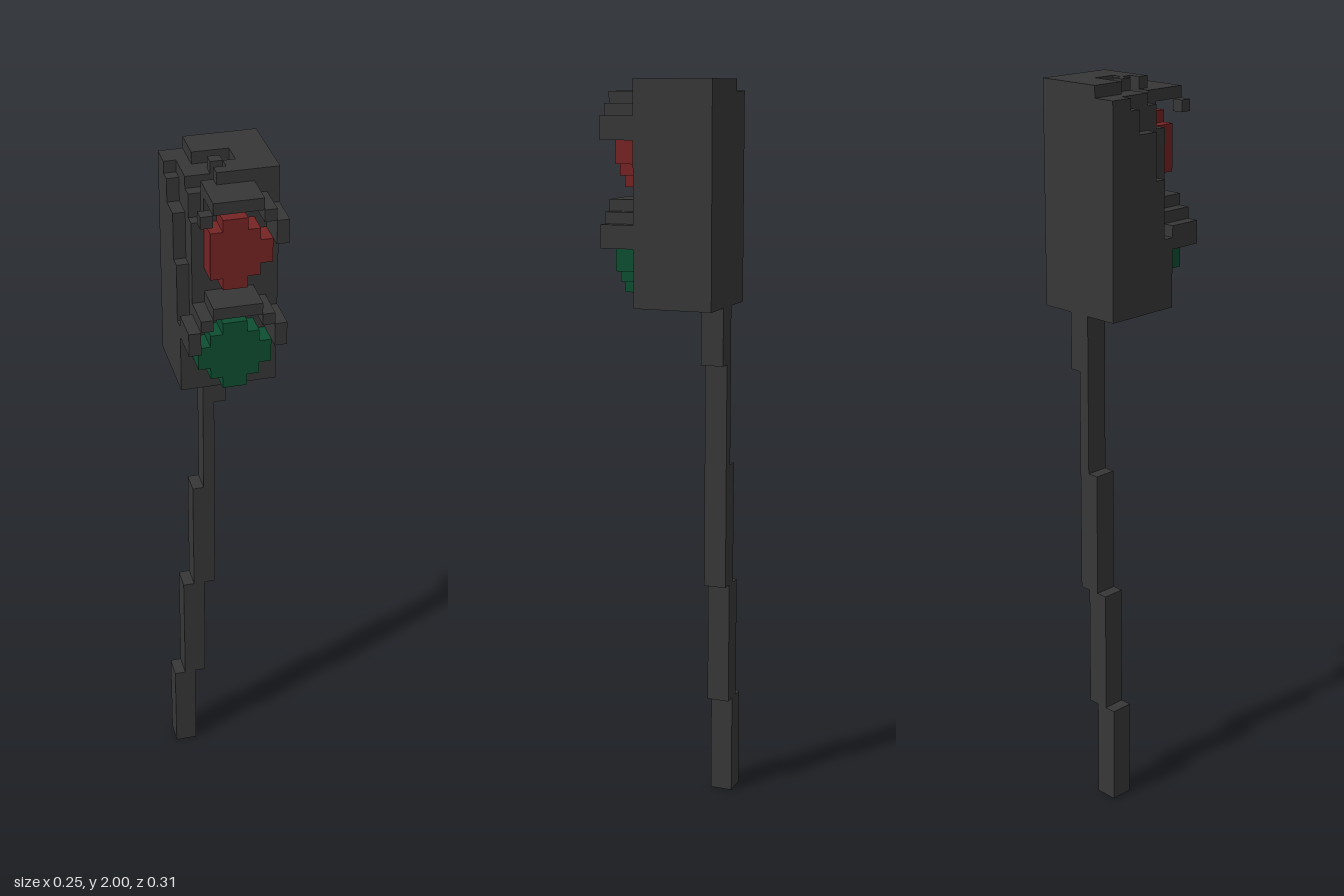
import * as THREE from 'three';

const U = 2 / 64; // one block unit; grid is 8 wide, 64 high, 10 deep

export function createModel() {
  const model = new THREE.Group();
  const mat = (name, color) => {
    const m = new THREE.MeshStandardMaterial({ color });
    m.name = name;
    return m;
  };
  const grey = mat('dark grey', 0x373737);
  const red = mat('signal red', 0x762424);
  const green = mat('signal green', 0x0e4e31);

  const part = (name) => {
    const g = new THREE.Group();
    g.name = name;
    model.add(g);
    return g;
  };
  // Block from grid corner to grid corner
  const block = (group, m, x0, x1, y0, y1, z0, z1) => {
    const geo = new THREE.BoxGeometry((x1 - x0) * U, (y1 - y0) * U, (z1 - z0) * U);
    const mesh = new THREE.Mesh(geo, m);
    mesh.position.set(((x0 + x1) / 2 - 4) * U, ((y0 + y1) / 2) * U, ((z0 + z1) / 2 - 5) * U);
    mesh.name = group.name + 'Block';
    group.add(mesh);
  };

  // Crooked pole, stepping sideways as it rises
  const pole = part('pole');
  [[0, 2, 0, 9], [1, 3, 9, 20], [2, 4, 20, 31], [3, 4, 31, 40], [3, 5, 40, 45]]
    .forEach(([x0, x1, y0, y1]) => block(pole, grey, x0, x1, y0, y1, 0, 2));

  // Housing: solid core, then columns of varied height at the worn corner
  const housing = part('housing');
  block(housing, grey, 2, 8, 45, 62, 0, 7);
  [ // x0, x1, z0, z1, top
    [0, 1, 0, 2, 63], [0, 1, 2, 3, 62], [0, 1, 3, 5, 60], [0, 1, 5, 6, 56], [0, 1, 6, 7, 51],
    [1, 2, 0, 5, 63], [1, 2, 5, 6, 62], [1, 2, 6, 7, 60],
  ].forEach(([x0, x1, z0, z1, top]) => block(housing, grey, x0, x1, 45, top, z0, z1));

  // Worn top layers
  const cap = part('wornTop');
  block(cap, grey, 2, 8, 62, 64, 0, 3);
  block(cap, grey, 5, 8, 62, 64, 3, 7);
  block(cap, grey, 2, 5, 62, 63, 3, 5);
  block(cap, grey, 3, 4, 63, 64, 4, 5);
  block(cap, grey, 4, 5, 62, 64, 5, 7);
  block(cap, grey, 3, 4, 62, 64, 6, 7);
  block(cap, grey, 2, 3, 62, 63, 6, 7);

  // Stepped visors; the upper one is broken on its right
  const visor = (name, y, broken) => {
    const g = part(name);
    block(g, grey, 2, 6, y + 3, y + 4, 7, 10);
    block(g, grey, 6, 7, y + 2, y + 3, 7, 10);
    block(g, grey, 7, 8, y, y + 2, 7, 10);
    block(g, grey, 1, 2, y + 2, y + 3, broken ? 9 : 7, 10);
    if (!broken) block(g, grey, 0, 1, y, y + 2, 7, 10);
  };
  visor('upperVisor', 59, true);
  visor('lowerVisor', 50, false);

  // Round lamps built from rows
  const lamp = (name, m, y, minX) => {
    const g = part(name);
    [[3, 0, 1], [2, 1, 2], [1, 2, 4], [2, 4, 5], [3, 5, 6]].forEach(([inset, a, b]) =>
      block(g, m, Math.max(inset, minX), 8 - inset, y + a, y + b, 7, 9));
  };
  lamp('redLamp', red, 55, 2);
  lamp('greenLamp', green, 46, 1);

  return model;
}
